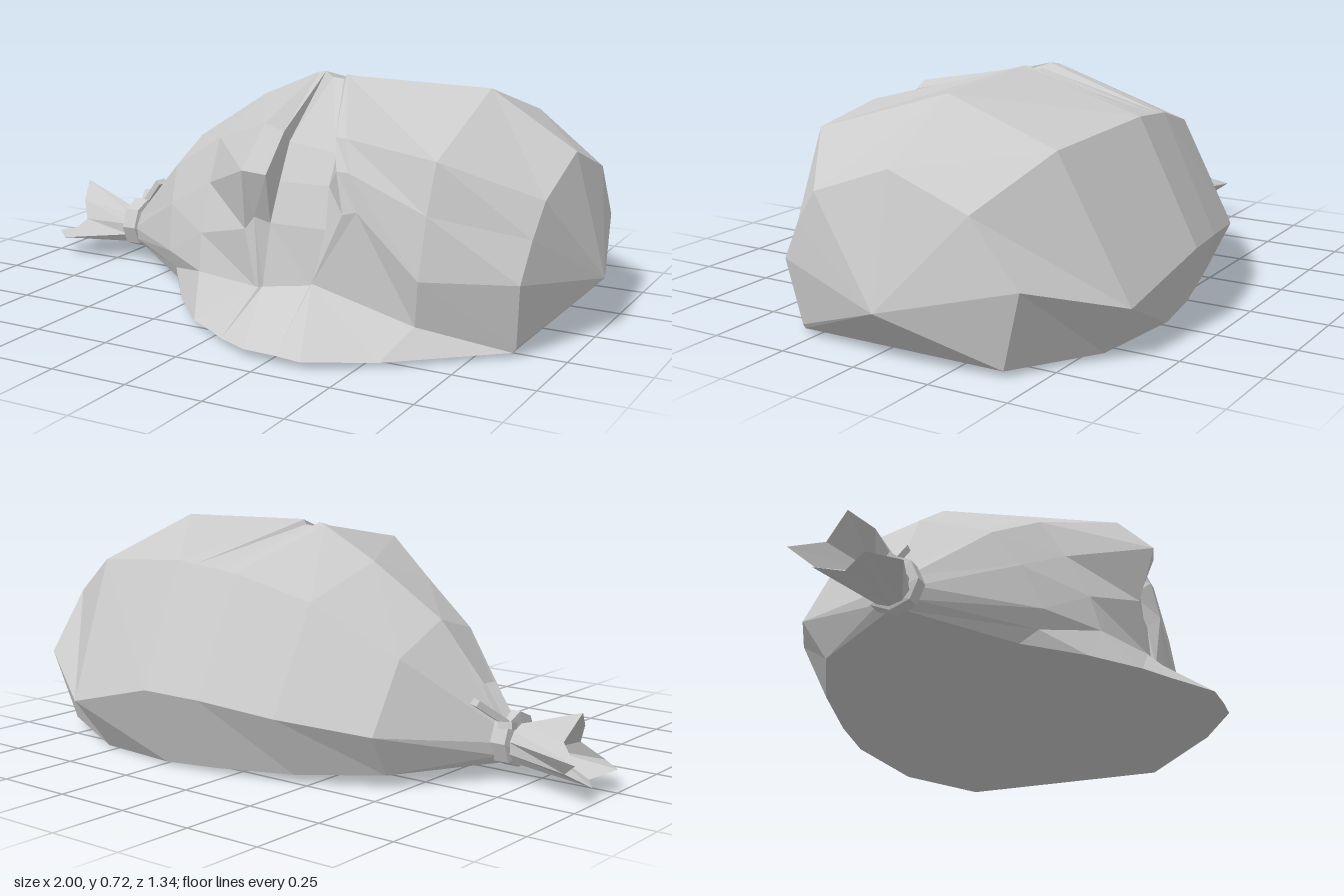
import * as THREE from 'three';

const mat = new THREE.MeshStandardMaterial({ color: 0xcccccc, flatShading: true, side: THREE.DoubleSide });

// Skin a list of closed cross-sections, ordered along +x, each running top > back > bottom > front
function loft(name, rings) {
  const n = rings[0].length, index = [];
  for (let s = 0; s < rings.length - 1; s++) {
    for (let i = 0; i < n; i++) {
      const j = (i + 1) % n, a = s * n + i, b = s * n + j;
      index.push(a, a + n, b, b, a + n, b + n);
    }
  }
  const geo = new THREE.BufferGeometry();
  geo.setAttribute('position', new THREE.Float32BufferAttribute(rings.flat(2), 3));
  geo.setIndex(index);
  const flat = geo.toNonIndexed();
  flat.computeVertexNormals();
  const mesh = new THREE.Mesh(flat, mat);
  mesh.name = name;
  return mesh;
}

// Round section used around the tied neck
function neckRing(x, r, n, cy = 0.11, cz = -0.06) {
  return Array.from({ length: n }, (_, i) => {
    const a = (i / n) * Math.PI * 2;
    return [x, cy + r * Math.cos(a), cz - r * Math.sin(a)];
  });
}

const lerp = (p, q, t) => p.map((v, k) => v + (q[k] - v) * t);

// Each section: top, back upper, back middle, back floor | front floor, low, middle, high, upper
const shoulder = [
  [-0.44, 0.46, -0.09], [-0.46, 0.38, -0.33], [-0.46, 0.17, -0.46], [-0.45, 0.04, -0.38],
  [-0.36, 0.04, 0.2], [-0.33, 0.09, 0.25], [-0.34, 0.15, 0.27], [-0.37, 0.29, 0.21], [-0.4, 0.4, 0.13]];
const flank = [
  [-0.2, 0.62, -0.11], [-0.2, 0.53, -0.42], [-0.2, 0.21, -0.59], [-0.2, 0.025, -0.5],
  [-0.23, 0.03, 0.37], [-0.15, 0.14, 0.39], [-0.16, 0.255, 0.36], [-0.17, 0.4, 0.29], [-0.18, 0.53, 0.21]];
const tearLeft = [
  [0.02, 0.715, -0.08], [0.05, 0.6, -0.47], [0.05, 0.24, -0.645], [0.05, 0.015, -0.56],
  [-0.1, 0.02, 0.5], [0.1, 0.15, 0.47], [0.06, 0.32, 0.46], [0.08, 0.51, 0.51], [0.09, 0.63, 0.39]];
const tearRight = [
  [0.15, 0.72, -0.03], [0.26, 0.625, -0.495], [0.24, 0.25, -0.675], [0.24, 0.008, -0.585],
  [0.36, 0.02, 0.665], [0.28, 0.18, 0.45], [0.42, 0.41, 0.44], [0.39, 0.52, 0.43], [0.36, 0.61, 0.39]];
const belly = [
  [0.62, 0.71, -0.07], [0.645, 0.59, -0.44], [0.59, 0.16, -0.645], [0.55, 0, -0.54],
  [0.55, 0.015, 0.55], [0.6, 0.09, 0.42], [0.62, 0.235, 0.45], [0.63, 0.42, 0.42], [0.64, 0.57, 0.38]];
const end = [
  [0.9, 0.545, -0.06], [0.9, 0.45, -0.32], [0.89, 0.26, -0.47], [0.86, 0.02, -0.4],
  [0.85, 0.015, 0.29], [0.86, 0.03, 0.29], [0.88, 0.23, 0.33], [0.89, 0.35, 0.27], [0.9, 0.45, 0.2]];

// Tear sections keep the smooth back and replace the top and front with the given points
function tearSection(t, top, front) {
  const back = [1, 2, 3].map(i => lerp(tearLeft[i], tearRight[i], t));
  return [top, ...back, ...front];
}

export function createModel() {
  const group = new THREE.Group();

  group.add(loft('sackNeckHalf', [neckRing(-0.67, 0.06, 9), shoulder, flank, tearLeft]));

  // Folded lip, recessed filling and opposite lip of the tear
  group.add(loft('tornOpening', [
    tearLeft,
    tearSection(0.2, [0.05, 0.72, -0.07],
      [[0.0, 0.02, 0.56], [0.11, 0.15, 0.47], [0.09, 0.36, 0.455], [0.15, 0.5, 0.49], [0.15, 0.61, 0.38]]),
    tearSection(0.4, [0.08, 0.705, -0.06],
      [[0.06, 0.02, 0.6], [0.12, 0.15, 0.46], [0.13, 0.34, 0.43], [0.14, 0.46, 0.39], [0.14, 0.57, 0.33]]),
    tearSection(0.7, [0.13, 0.705, -0.04],
      [[0.17, 0.025, 0.66], [0.27, 0.17, 0.44], [0.31, 0.34, 0.42], [0.3, 0.46, 0.38], [0.3, 0.55, 0.33]]),
    tearSection(0.85, [0.14, 0.72, -0.04],
      [[0.28, 0.025, 0.665], [0.28, 0.18, 0.45], [0.38, 0.4, 0.45], [0.35, 0.52, 0.43], [0.32, 0.61, 0.38]]),
    tearRight]));

  const tip = end.map(() => [1, 0.165, -0.07]);
  group.add(loft('sackRoundEnd', [tearRight, belly, end, tip]));

  // Tie band around the neck
  group.add(loft('tieBand', [
    neckRing(-0.71, 0.055, 8), neckRing(-0.705, 0.085, 8, 0.125), neckRing(-0.655, 0.085, 8, 0.125),
    neckRing(-0.645, 0.06, 8)]));

  // Pleated, flared mouth beyond the tie
  const mouth = [
    [-0.93, 0.245, -0.09], [-0.91, 0.17, -0.16], [-0.99, 0.13, -0.235], [-0.92, 0.08, -0.17],
    [-1, 0.05, -0.15], [-0.95, 0.05, -0.08], [-1, 0.07, 0.0], [-0.92, 0.07, 0.075],
    [-0.87, 0.13, 0.01], [-0.9, 0.19, -0.02]];
  const throat = mouth.map(() => [-0.8, 0.11, -0.06]);
  group.add(loft('gatheredMouth', [throat, mouth, neckRing(-0.7, 0.06, 10)]));

  // Loose ends of the tie
  [[-0.74, 0.2, -0.2], [-0.63, 0.25, -0.19], [-0.6, 0.28, -0.07]].forEach(p => {
    const root = new THREE.Vector3(-0.69, 0.17, -0.09), target = new THREE.Vector3(...p);
    const strip = new THREE.Mesh(new THREE.BoxGeometry(0.04, 0.02, root.distanceTo(target)), mat);
    strip.name = 'tieEnd';
    strip.position.copy(root).lerp(target, 0.5);
    strip.lookAt(target);
    group.add(strip);
  });

  return group;
}
